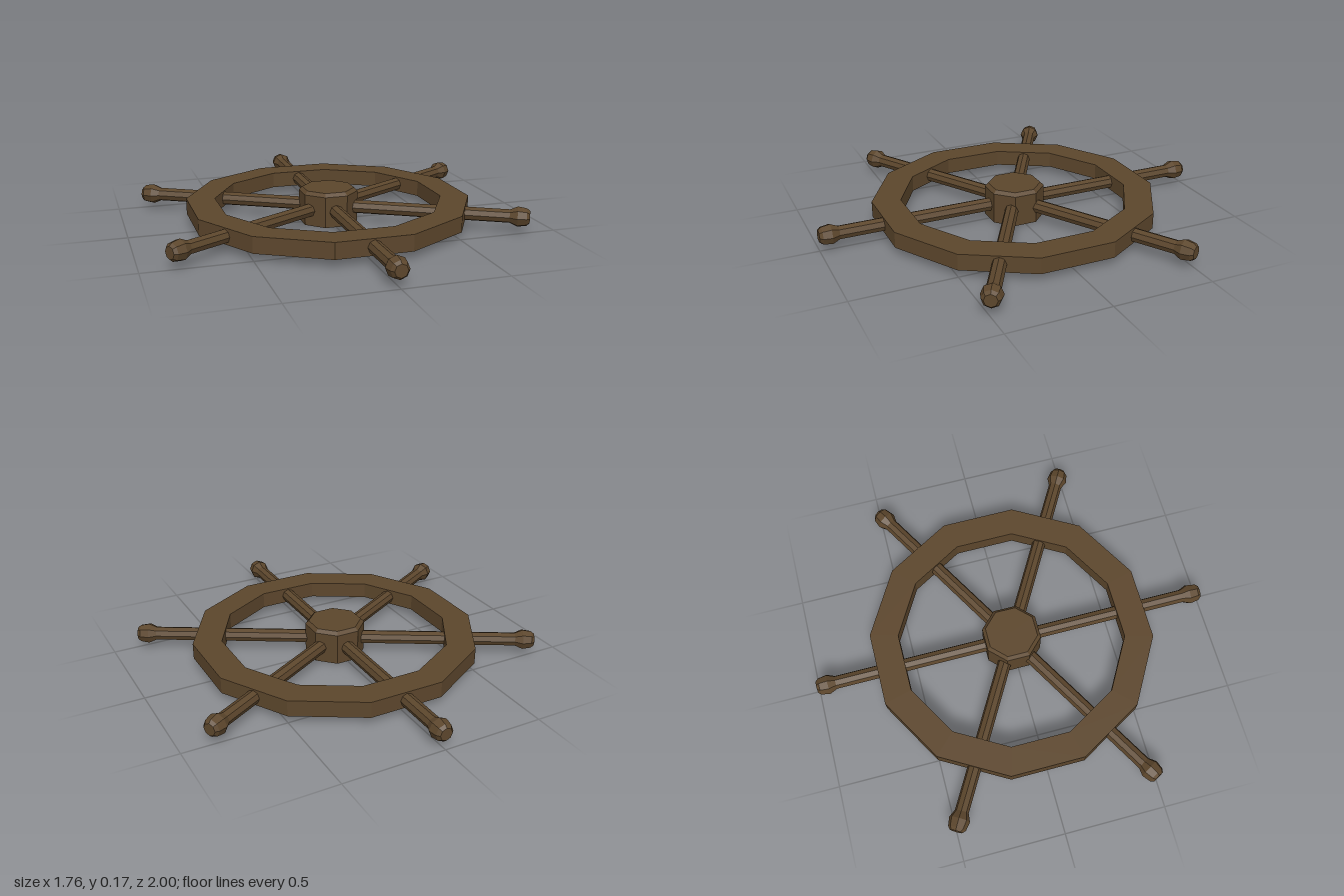
import * as THREE from 'three';

const wood = new THREE.MeshStandardMaterial({ color: 0x5c462c, flatShading: true });
wood.name = 'darkWood';

const MID = 0.078; // height of the spoke axes

function part(name, geometry) {
  const mesh = new THREE.Mesh(geometry, wood);
  mesh.name = name;
  return mesh;
}

function lathe(points, sides, start = 0) {
  return new THREE.LatheGeometry(points.map(([r, y]) => new THREE.Vector2(r, y)), sides, start);
}

export function createModel() {
  const wheel = new THREE.Group();
  wheel.name = 'shipWheel';

  // Twelve-sided rim with a rectangular section
  wheel.add(part('rim', lathe(
    [[0.57, 0.038], [0.713, 0.038], [0.713, 0.118], [0.57, 0.118], [0.57, 0.038]], 12, Math.PI / 12)));

  // Eight-sided hub with a chamfered top
  wheel.add(part('hub', lathe(
    [[0, 0], [0.148, 0], [0.148, 0.155], [0.131, 0.172], [0, 0.172]], 8, Math.PI / 8)));

  // Six spokes, each ending in a flared, rounded knob
  for (let i = 0; i < 6; i++) {
    const spoke = new THREE.Group();
    spoke.name = 'spoke' + (i + 1);

    const shaft = part('shaft', new THREE.CylinderGeometry(0.034, 0.034, 0.84, 8, 1, true));
    shaft.position.y = 0.49;
    const knob = part('knob', lathe(
      [[0.032, 0.9], [0.051, 0.942], [0.044, 0.985], [0.031, 1], [0, 1]], 8));
    spoke.add(shaft, knob);

    spoke.rotation.set(Math.PI / 2, 0, i * Math.PI / 3);
    spoke.position.y = MID;
    wheel.add(spoke);
  }

  return wheel;
}
